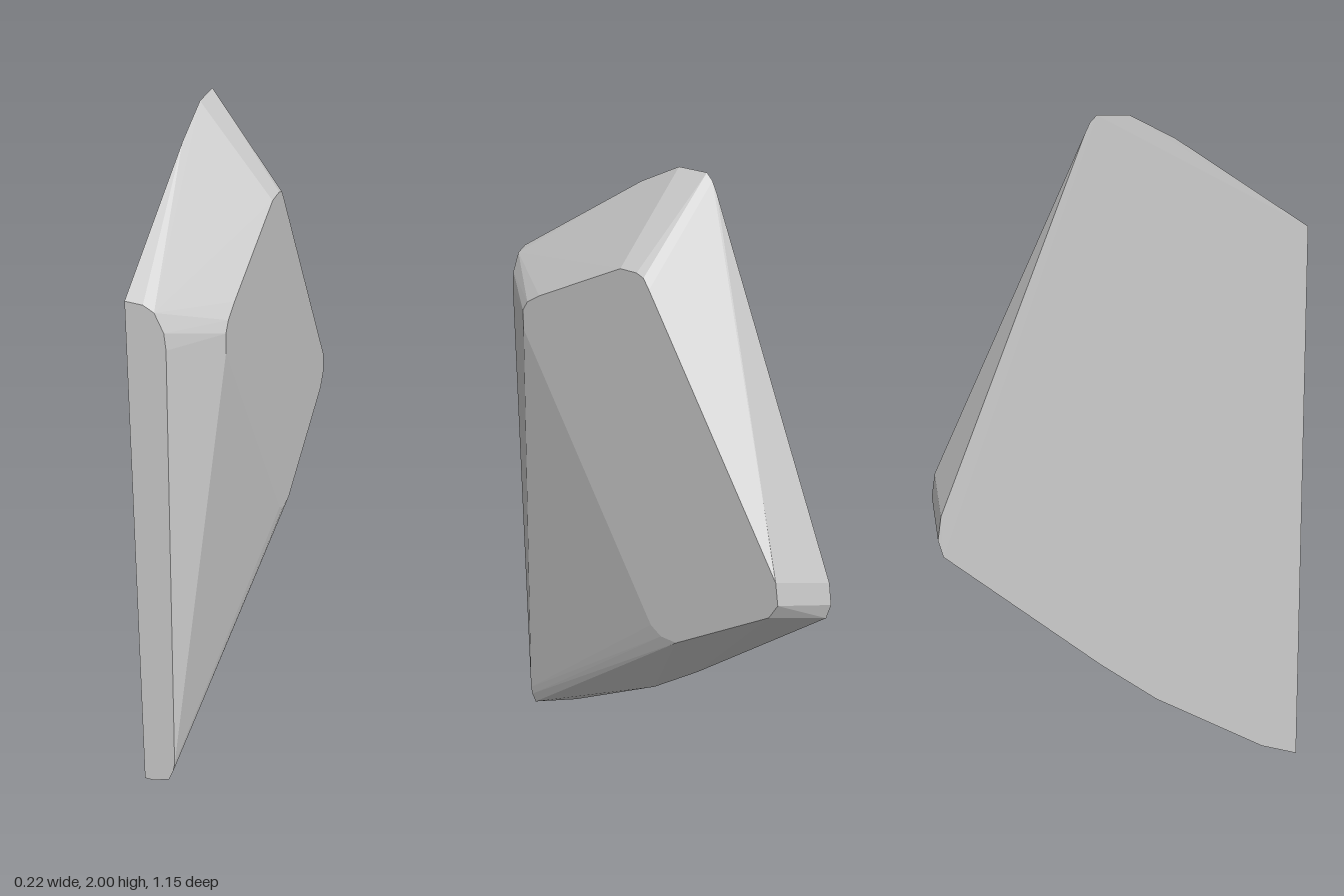
import * as THREE from 'three';
import { ConvexGeometry } from 'three/addons/geometries/ConvexGeometry.js';

export function createModel() {
  const group = new THREE.Group();
  group.name = 'facetedShard';
  const grey = new THREE.MeshStandardMaterial({ color: 0xcccccc });
  grey.name = 'light grey';

  // Large flat side, as [z, y]
  const innerFace = [
    [0.58, 0], [0.46, 0.04], [0.1, 0.24], [-0.08, 0.37], [-0.56, 0.75],
    [-0.575, 0.8], [-0.565, 0.87], [-0.125, 1.95], [-0.11, 1.98],
    [-0.09, 2], [0.01, 2], [0.15, 1.935], [0.58, 1.675],
  ];
  // Smaller opposite side, as [z, y]
  const outerFace = [
    [0.43, 1.48], [0.43, 1.54], [0.41, 1.57], [0.36, 1.6], [0.04, 1.75],
    [-0.02, 1.75], [-0.045, 1.74], [-0.065, 1.71], [-0.53, 0.95],
    [-0.54, 0.88], [-0.51, 0.83], [-0.17, 0.615], [-0.11, 0.615], [-0.07, 0.64],
  ];
  // Narrow front edge with rounded corners, as [x, y]
  const frontFace = [
    [-0.08, 0], [-0.03, 0.02], [-0.015, 0.06], [-0.01, 0.09],
    [0, 1.55], [-0.005, 1.6], [-0.03, 1.655], [-0.06, 1.672],
  ];

  // The body is the solid stretched between the three faces
  const points = [
    ...innerFace.map(([z, y]) => new THREE.Vector3(-0.11, y, z)),
    ...outerFace.map(([z, y]) => new THREE.Vector3(0.11, y, z)),
    ...frontFace.map(([x, y]) => new THREE.Vector3(x, y, 0.58)),
  ];
  const body = new THREE.Mesh(new ConvexGeometry(points), grey);
  body.name = 'shardBody';
  group.add(body);
  return group;
}
